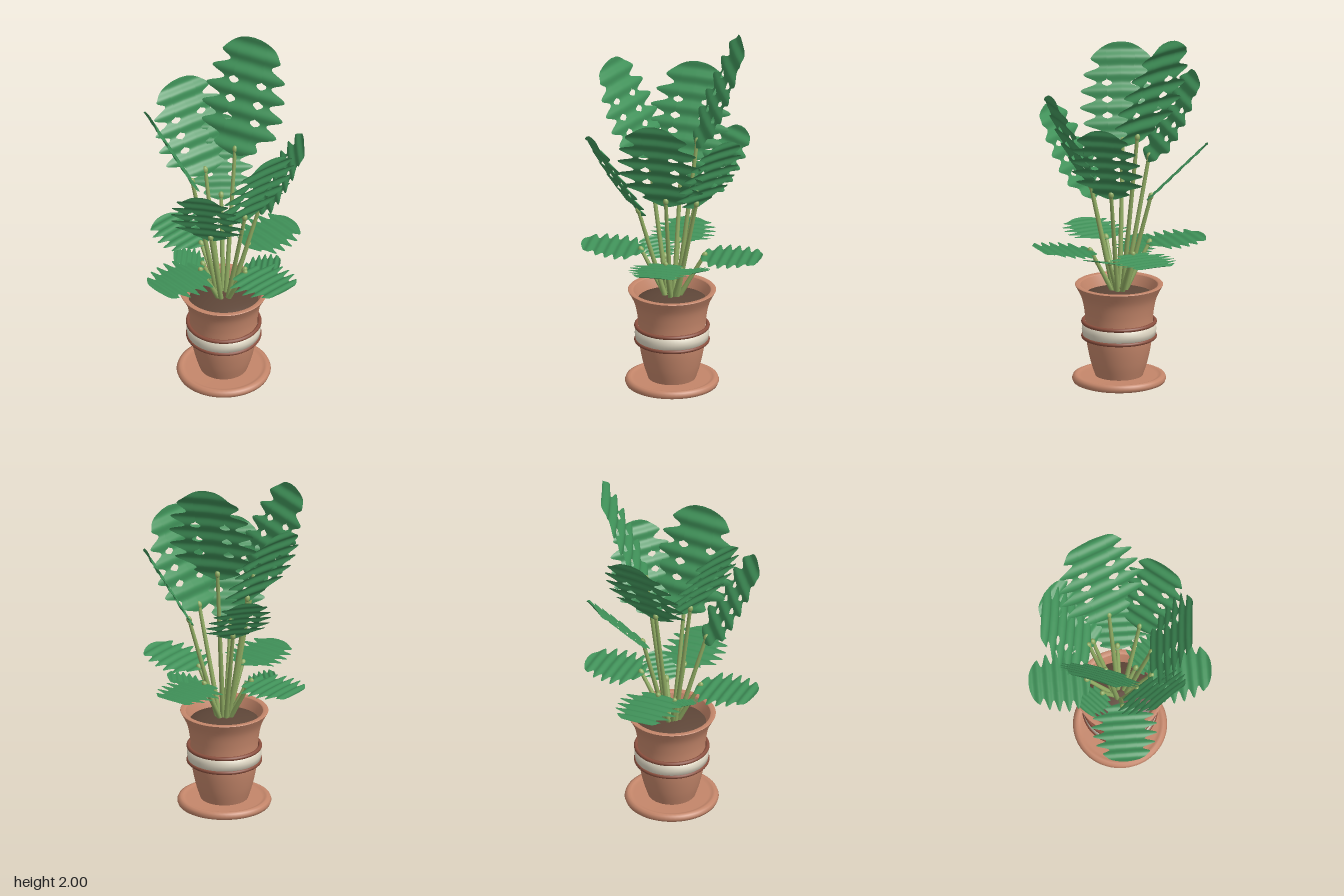
import * as THREE from 'three';

const mat = (name, color, side = THREE.FrontSide) => {
  const m = new THREE.MeshStandardMaterial({ color, side });
  m.name = name;
  return m;
};

const V = (x, y, z) => new THREE.Vector3(x, y, z);

// Leaf blade from base to tip: lobed outline, ripples along its length, oval holes
function leafGeometry(base, tip, halfWidth, holes) {
  const along = tip.clone().sub(base);
  const len = along.length();
  const across = V(along.z, 0, -along.x).normalize();
  const normal = along.clone().cross(across).normalize();
  const ROWS = 100, START = -0.06;
  const pos = [], idx = [];

  const phase = (t) => Math.cos(Math.PI * 12 * (t - 0.84));
  const width = (t) => {
    const taper = Math.sqrt(Math.max(0, 1 - t ** 4));
    const foot = Math.sqrt(Math.min(1, Math.max(0, (t - START) / 0.28)));
    return halfWidth * taper * foot * (0.81 + 0.19 * (t > 0.84 ? 1 : phase(t)));
  };
  const gap = (t) => {
    let g = 0;
    for (const c of holes) g = Math.max(g, 1 - ((t - c) / 0.028) ** 2);
    return 0.12 * halfWidth * Math.sqrt(g);
  };

  // A strip runs the whole length between two lateral limits
  const strip = (from, to, cols) => {
    const first = pos.length / 3;
    for (let i = 0; i <= ROWS; i++) {
      const t = START + (1 - START) * (0.5 - 0.5 * Math.cos(Math.PI * i / ROWS)) * 0.3
        + (1 - START) * (i / ROWS) * 0.7;
      for (let j = 0; j <= cols; j++) {
        const u = THREE.MathUtils.lerp(from(t), to(t), j / cols);
        const ripple = 0.013 * len * phase(t) - 0.25 * u * u;
        const p = base.clone().addScaledVector(along, t)
          .addScaledVector(across, u).addScaledVector(normal, ripple);
        pos.push(p.x, p.y, p.z);
        if (i < ROWS && j < cols) {
          const a = first + i * (cols + 1) + j, b = a + cols + 1;
          idx.push(a, b, a + 1, b, b + 1, a + 1);
        }
      }
    }
  };

  const mid = (t) => Math.min(0.34 * halfWidth, 0.6 * width(t));
  for (const s of [-1, 1]) {
    strip(() => 0, (t) => s * (mid(t) - gap(t)), 2);
    strip((t) => s * (mid(t) + gap(t)), (t) => s * width(t), 4);
  }
  const g = new THREE.BufferGeometry();
  g.setAttribute('position', new THREE.Float32BufferAttribute(pos, 3));
  g.setIndex(idx);
  g.computeVertexNormals();
  return g;
}

export function createModel() {
  const terracotta = mat('terracotta', 0xc4866a, THREE.DoubleSide);
  const darkClay = mat('darkClay', 0x8a4f3e);
  const cream = mat('cream', 0xe0d8c4);
  const soilMat = mat('soil', 0x5e4638, THREE.DoubleSide);
  const stemMat = mat('stemGreen', 0x8fab62);
  const leafMat = mat('leafGreen', 0x3f9058, THREE.DoubleSide);

  const model = new THREE.Group();
  model.name = 'pottedPlant';
  const add = (parent, name, geo, material) => {
    const m = new THREE.Mesh(geo, material);
    m.name = name;
    parent.add(m);
    return m;
  };
  const lathe = (pts) => new THREE.LatheGeometry(pts.map(([r, y]) => new THREE.Vector2(r, y)), 64);
  const smooth = (pts, n) => new THREE.SplineCurve(pts.map(([r, y]) => new THREE.Vector2(r, y)))
    .getPoints(n).map((p) => [p.x, p.y]);

  // Pot and saucer
  const pot = new THREE.Group();
  pot.name = 'pot';
  model.add(pot);
  add(pot, 'potOuterWall', lathe(smooth([[0.13, 0.04], [0.155, 0.12], [0.175, 0.22],
    [0.182, 0.32], [0.188, 0.4], [0.205, 0.48], [0.24, 0.55]], 32)), terracotta);
  add(pot, 'potRim', lathe([[0.24, 0.55], [0.236, 0.554], [0.215, 0.553], [0.21, 0.548]]), terracotta);
  add(pot, 'potInnerWall', lathe([[0.21, 0.548], [0.19, 0.5], [0.178, 0.45]]), terracotta);
  add(pot, 'saucer', lathe([[0, 0], [0.235, 0], [0.25, 0.006], [0.256, 0.022], [0.25, 0.038],
    [0.236, 0.045], [0.222, 0.042], [0.205, 0.034], [0, 0.034]]), terracotta);
  add(pot, 'creamBand', lathe([[0.175, 0.262], [0.198, 0.265], [0.203, 0.3],
    [0.198, 0.336], [0.175, 0.338]]), cream);
  for (const y of [0.26, 0.342]) {
    const ring = add(pot, 'clayRing', new THREE.TorusGeometry(0.195, 0.011, 12, 64), darkClay);
    ring.rotation.x = Math.PI / 2;
    ring.position.y = y;
  }
  add(pot, 'soil', lathe(smooth([[0.19, 0.49], [0.14, 0.507], [0.07, 0.52], [0, 0.524]], 10)), soilMat);

  // Each leaf: base, tip, half width, large (with holes)
  const leaves = [
    [[0.13, 1.41, -0.05], [0.36, 2.0, -0.14], 0.245, true],
    [[-0.15, 1.31, -0.09], [-0.38, 1.8, -0.18], 0.23, true],
    [[0.02, 1.26, -0.17], [0.06, 1.72, -0.43], 0.24, true],
    [[0, 1.13, 0.17], [-0.02, 1.65, 0.4], 0.245, true],
    [[-0.17, 1.03, 0.08], [-0.4, 1.5, 0.25], 0.2, true],
    [[0.16, 1.11, 0.12], [0.35, 1.54, 0.27], 0.2, true],
    [[0.11, 1.06, -0.14], [0.31, 1.38, -0.38], 0.18, true],
    [[0, 0.76, 0.17], [0, 0.81, 0.5], 0.18, false],
    [[0, 0.765, -0.18], [0, 0.775, -0.5], 0.18, false],
    [[0.18, 0.765, 0], [0.5, 0.775, 0], 0.18, false],
    [[-0.17, 0.77, 0], [-0.5, 0.79, 0], 0.18, false],
    [[0.07, 0.7, 0.09], [0.2, 0.76, 0.24], 0.12, false],
    [[-0.06, 0.7, -0.1], [-0.17, 0.76, -0.22], 0.12, false],
  ];
  const plant = new THREE.Group();
  plant.name = 'plant';
  model.add(plant);
  for (const [b, t, w, large] of leaves) {
    const base = V(...b), tip = V(...t);
    add(plant, 'leaf', leafGeometry(base, tip, w, large ? [0.26, 0.42, 0.59] : []), leafMat);

    // Stem rising from the soil, with a small joint under the leaf
    const root = V(b[0] * 0.18, 0.5, b[2] * 0.18);
    const dir = base.clone().sub(root);
    const turn = new THREE.Quaternion().setFromUnitVectors(V(0, 1, 0), dir.clone().normalize());
    const stem = add(plant, 'stem', new THREE.CylinderGeometry(0.01, 0.014, dir.length(), 12), stemMat);
    stem.position.copy(root).addScaledVector(dir, 0.5);
    stem.quaternion.copy(turn);
    const joint = add(plant, 'stemJoint', new THREE.SphereGeometry(0.015, 14, 10), stemMat);
    joint.scale.y = 1.4;
    joint.position.copy(base);
    joint.quaternion.copy(turn);
  }
  return model;
}
